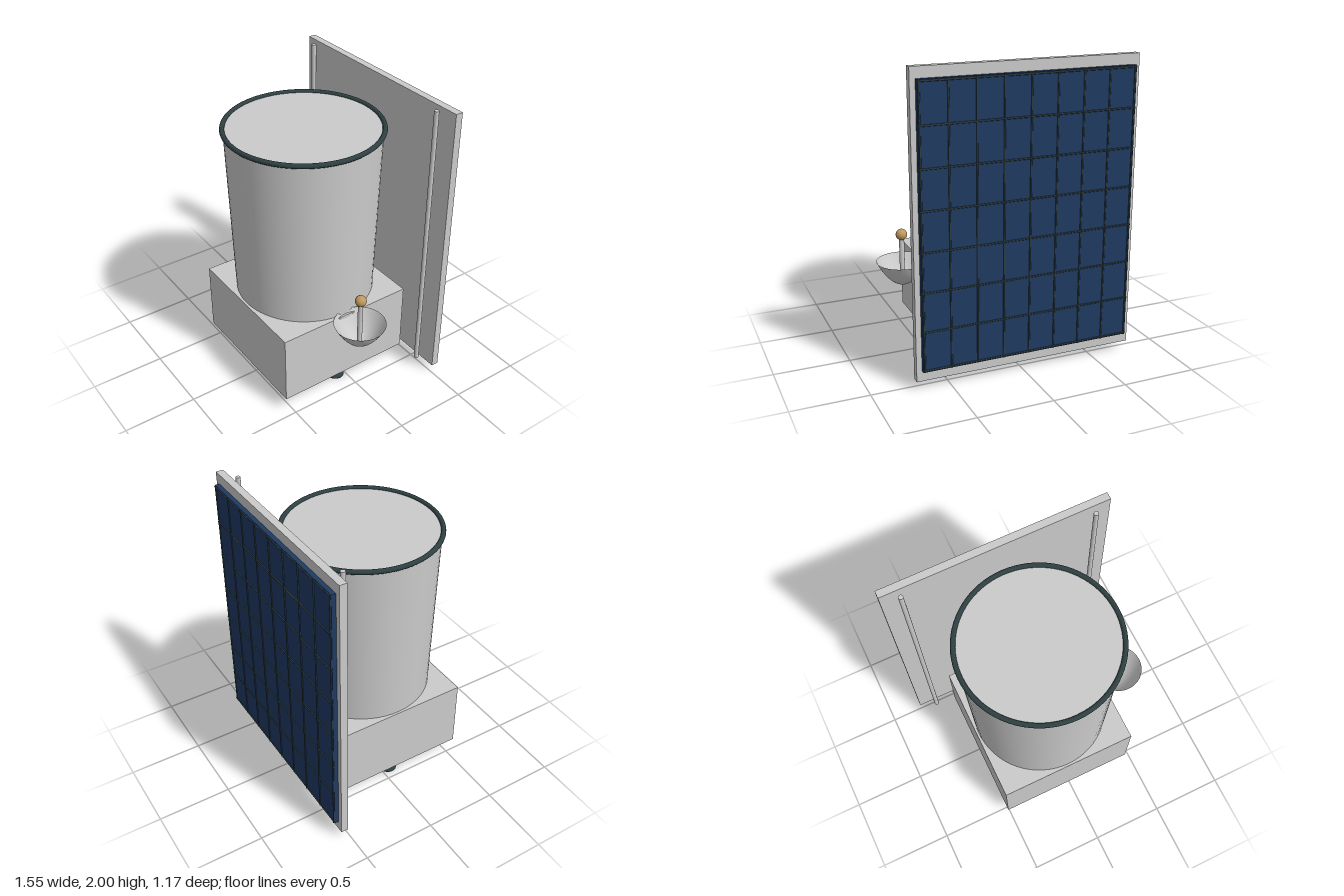
import * as THREE from 'three';

const mat = (color, side = THREE.FrontSide) =>
  new THREE.MeshStandardMaterial({ color, side });

export function createModel() {
  const model = new THREE.Group();
  const grey = mat(0xcccccc);
  const greyThin = mat(0xcccccc, THREE.DoubleSide);
  const dark = mat(0x2f4042);
  const blue = mat(0x1f3a63);
  const tan = mat(0xc09a5e);

  const add = (name, geometry, material, x, y, z, parent = model) => {
    const mesh = new THREE.Mesh(geometry, material);
    mesh.name = name;
    mesh.position.set(x, y, z);
    parent.add(mesh);
    return mesh;
  };
  const lathe = (points, segments = 48) =>
    new THREE.LatheGeometry(points.map(([r, y]) => new THREE.Vector2(r, y)), segments);

  const cx = -0.028, cz = 0.06;

  // Square base with the tapered drum and its rolled rim
  add('base', new THREE.BoxGeometry(0.97, 0.49, 0.97), grey, cx, 0.355, cz);
  add('drum', new THREE.CylinderGeometry(0.503, 0.47, 1.18, 64), grey, cx, 1.19, cz);
  add('rim', new THREE.TorusGeometry(0.507, 0.016, 12, 80), dark, cx, 1.781, cz)
    .rotation.x = Math.PI / 2;

  // Two flared feet
  const footShape = lathe([[0, 0], [0.06, 0], [0.06, 0.004], [0.043, 0.03], [0.028, 0.058],
    [0.016, 0.085], [0.014, 0.095], [0.02, 0.105], [0.02, 0.112]], 32);
  for (const side of [-1, 1]) add('foot', footShape, dark, cx + side * 0.37, 0, cz);

  // Parabolic dish with a post and ball
  const dish = [];
  for (let i = 0; i <= 14; i++) {
    const t = i / 14;
    dish.push([0.172 * t, 0.165 * t * t]);
  }
  add('dish', lathe(dish), greyThin, 0.6, 0.46, cz);
  add('dishPost', new THREE.CylinderGeometry(0.017, 0.017, 0.33, 20), grey, 0.6, 0.635, cz);
  add('dishBall', new THREE.SphereGeometry(0.038, 24, 16), tan, 0.6, 0.807, cz);

  // Back board and the two upright rods before it
  add('backBoard', new THREE.BoxGeometry(1.495, 1.945, 0.05), grey, cx, 1.0275, -0.53);
  for (const x of [-0.655, 0.6]) {
    add('rod', new THREE.CylinderGeometry(0.016, 0.016, 1.915, 20), grey, x, 1.0325, -0.46);
  }

  // Solar panel on the rear, with a raised grid of thin bars
  const panel = new THREE.Group();
  panel.name = 'solarPanel';
  panel.position.set(cx, 1.028, -0.57);
  model.add(panel);
  const w = 1.425, h = 1.805, cols = 8, rows = 7, r = 0.006;
  add('panelSheet', new THREE.BoxGeometry(w, h, 0.03), blue, 0, 0, 0, panel);
  const upright = new THREE.CylinderGeometry(r, r, h, 8);
  const cross = new THREE.CylinderGeometry(r, r, w, 8).rotateZ(Math.PI / 2);
  for (let i = 0; i <= cols; i++) {
    add('gridUpright', upright, dark, (i / cols - 0.5) * (w - 0.02), 0, -0.015, panel);
  }
  for (let j = 0; j <= rows; j++) {
    add('gridCrossbar', cross, dark, 0, (j / rows - 0.5) * (h - 0.02), -0.015, panel);
  }

  return model;
}
